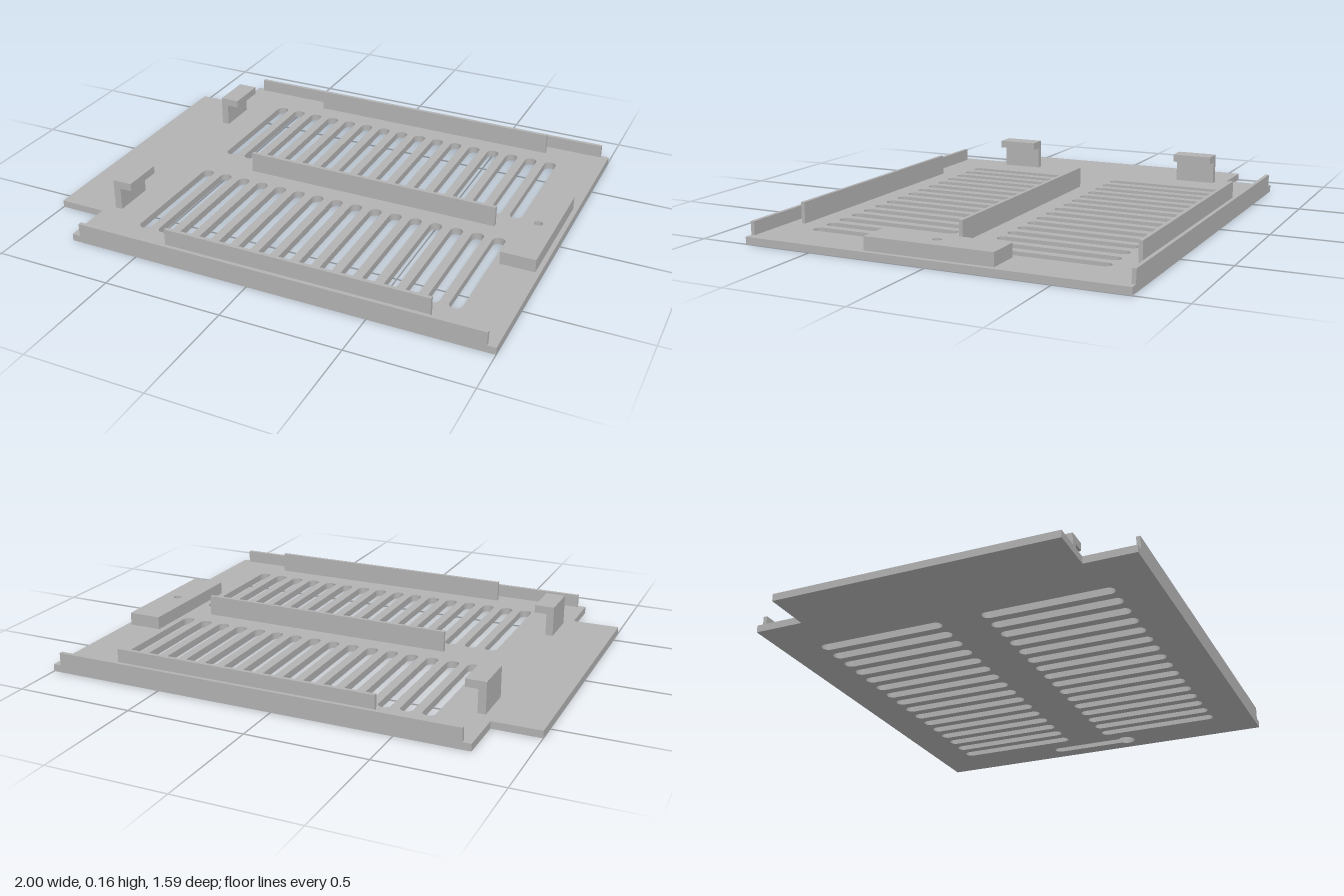
import * as THREE from 'three';

const grey = new THREE.MeshStandardMaterial({ color: 0xb2b2b2 });
grey.name = 'plain grey';

const BASE = 0.03;      // plate thickness
const WALL_TOP = 0.085; // height of side walls and end block
const BLOCK_X = 0.907;

// Extrudes a plan outline (x, -z) upwards from y0 to y1
function slab(name, shape, y0, y1) {
  const geo = new THREE.ExtrudeGeometry(shape, { depth: y1 - y0, bevelEnabled: false, curveSegments: 10 });
  geo.rotateX(-Math.PI / 2).translate(0, y0, 0);
  const mesh = new THREE.Mesh(geo, grey);
  mesh.name = name;
  return mesh;
}

function box(name, x0, x1, y0, y1, z0, z1) {
  const mesh = new THREE.Mesh(new THREE.BoxGeometry(x1 - x0, y1 - y0, z1 - z0), grey);
  mesh.position.set((x0 + x1) / 2, (y0 + y1) / 2, (z0 + z1) / 2);
  mesh.name = name;
  return mesh;
}

function polygon(points) {
  return new THREE.Shape(points.map(([x, y]) => new THREE.Vector2(x, y)));
}

// Round-ended slot running along the depth of the plate
function slot(x, y0, y1, r) {
  const p = new THREE.Path();
  p.absarc(x, y1 - r, r, 0, Math.PI, false);
  p.absarc(x, y0 + r, r, Math.PI, Math.PI * 2, false);
  p.closePath();
  return p;
}

// Slot with a wider round opening at its front end
function keyhole() {
  const r = 0.025, R = 0.04, yc = -0.165;
  const a = Math.asin(r / R);
  const p = new THREE.Path();
  p.absarc(BLOCK_X, 0.18, r, 0, Math.PI, false);
  p.absarc(BLOCK_X, yc, R, Math.PI / 2 + a, Math.PI * 2.5 - a, false);
  p.closePath();
  return p;
}

export function createModel() {
  const group = new THREE.Group();
  group.name = 'ventedCover';

  // Base plate with tongue, two rows of vents and the keyhole
  const plate = polygon([
    [-1, -0.587], [-0.8, -0.587], [-0.8, -0.795], [1, -0.795],
    [1, 0.795], [-0.8, 0.795], [-0.8, 0.587], [-1, 0.587],
  ]);
  for (let i = 0; i < 16; i++) {
    const x = -0.57 + i * 0.09;
    plate.holes.push(slot(x, 0.09, 0.635, 0.026), slot(x, -0.63, -0.085, 0.026));
  }
  plate.holes.push(keyhole());
  group.add(slab('basePlate', plate, 0, BASE));

  // End block: hollow lower layer, cap with a pin hole
  const blockOutline = () => polygon([[0.835, -0.27], [0.98, -0.27], [0.98, 0.27], [0.835, 0.27]]);
  const lower = blockOutline();
  lower.holes.push(keyhole());
  const cap = blockOutline();
  cap.holes.push(new THREE.Path().absarc(BLOCK_X, 0, 0.018, 0, Math.PI * 2, false));
  const block = new THREE.Group();
  block.name = 'endBlock';
  block.add(slab('endBlockBody', lower, BASE, 0.06), slab('endBlockCap', cap, 0.06, WALL_TOP));
  group.add(block);

  // Ribs, one in the middle and one near each side
  for (const z of [-0.722, 0, 0.722]) {
    group.add(box('rib', -0.4, 0.727, BASE, 0.118, z - 0.008, z + 0.008));
  }

  for (const s of [-1, 1]) {
    // Side wall
    const zc = s * 0.787;
    group.add(box('sideWall', -0.765, 0.965, BASE, WALL_TOP, zc - 0.008, zc + 0.008));

    // Hook with its lip pointing inwards
    const profile = polygon([
      [-0.765, BASE], [-0.733, BASE], [-0.733, 0.127], [-0.68, 0.127], [-0.68, 0.16], [-0.765, 0.16],
    ]);
    const hook = new THREE.Mesh(
      new THREE.ExtrudeGeometry(profile, { depth: 0.178, bevelEnabled: false }), grey);
    hook.position.z = s * 0.45 - 0.089;
    hook.name = 'hook';
    group.add(hook);
  }
  return group;
}
